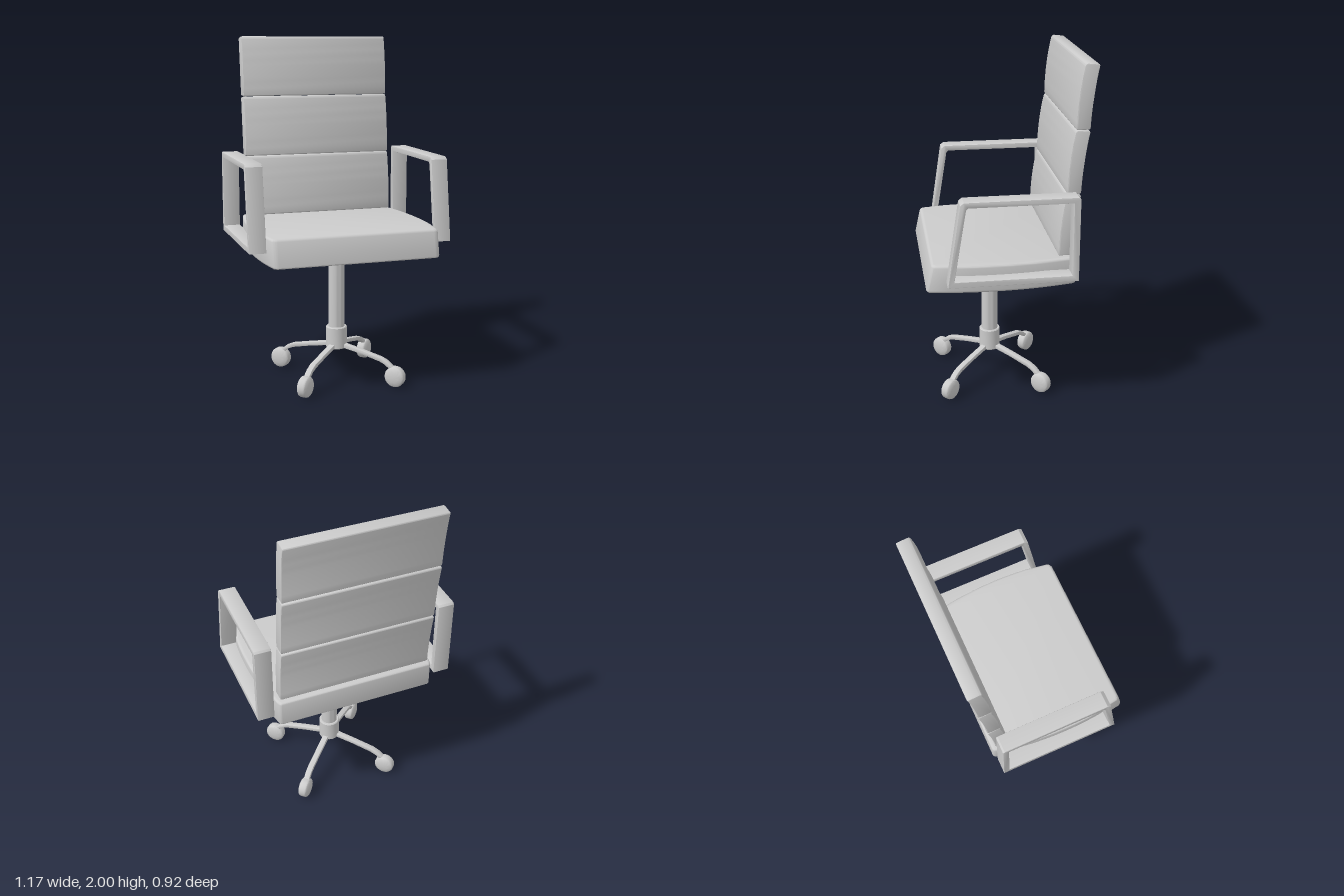
import * as THREE from 'three';
import { toCreasedNormals } from 'three/addons/utils/BufferGeometryUtils.js';

const material = new THREE.MeshStandardMaterial({ color: 0xcccccc });
const POST_Z = 0.055;

function add(parent, name, geometry, crease = 0.6) {
  const mesh = new THREE.Mesh(toCreasedNormals(geometry, crease), material);
  mesh.name = name;
  parent.add(mesh);
  return mesh;
}

const pts = (list) => list.map(([x, y]) => new THREE.Vector2(x, y));

// Extrusion centred on its depth, with a bevel that stays inside the outline
function slab(shape, depth, bevel, segments = 2) {
  const g = new THREE.ExtrudeGeometry(shape, {
    depth: depth - 2 * bevel, bevelEnabled: bevel > 0, bevelSize: bevel,
    bevelThickness: bevel, bevelOffset: -bevel, bevelSegments: segments, curveSegments: 10,
  });
  return g.translate(0, 0, bevel - depth / 2);
}

// Side profile (z, y) extruded across x
const sideSlab = (shape, width, bevel) => slab(shape, width, bevel).rotateY(-Math.PI / 2);

function createSeat(parent) {
  // Plan outline: bulging sides, narrower back, clipped front corners
  const s = new THREE.Shape();
  s.moveTo(-0.45, 0.365);
  s.lineTo(0.45, 0.365);
  s.quadraticCurveTo(0.465, 0.36, 0.47, 0.33);
  s.bezierCurveTo(0.515, 0.12, 0.525, -0.12, 0.495, -0.35);
  s.lineTo(0.48, -0.445);
  s.quadraticCurveTo(0.475, -0.46, 0.45, -0.465);
  s.lineTo(-0.45, -0.465);
  s.quadraticCurveTo(-0.475, -0.46, -0.48, -0.445);
  s.lineTo(-0.495, -0.35);
  s.bezierCurveTo(-0.525, -0.12, -0.515, 0.12, -0.47, 0.33);
  s.quadraticCurveTo(-0.465, 0.36, -0.45, 0.365);
  const g = slab(s, 0.158, 0.014, 3).rotateX(-Math.PI / 2).translate(0, 0.859, 0);
  // Lean the front face back towards the top
  const p = g.attributes.position;
  for (let i = 0; i < p.count; i++) {
    const t = (p.getY(i) - 0.78) / 0.158;
    if (p.getZ(i) > 0.3) p.setZ(i, p.getZ(i) - 0.034 * t);
  }
  add(parent, 'seat', g);
}

function createBackrest(parent) {
  const back = new THREE.Group();
  back.name = 'backrest';
  parent.add(back);
  // Bowed cushion profile: convex front, hollow back
  const s = new THREE.Shape();
  s.moveTo(-0.275, 0.945);
  s.lineTo(-0.335, 0.945);
  s.quadraticCurveTo(-0.342, 0.946, -0.343, 0.955);
  s.quadraticCurveTo(-0.35, 1.12, -0.382, 1.28);
  s.quadraticCurveTo(-0.383, 1.288, -0.373, 1.29);
  s.lineTo(-0.32, 1.296);
  s.quadraticCurveTo(-0.306, 1.296, -0.302, 1.28);
  s.quadraticCurveTo(-0.268, 1.13, -0.266, 0.955);
  s.quadraticCurveTo(-0.266, 0.945, -0.275, 0.945);
  for (let i = 0; i < 3; i++) {
    const cushion = add(back, 'backCushion' + (i + 1), sideSlab(s, 0.9, 0.008));
    cushion.position.set(0, 0.352 * i, -0.04 * i);
  }
}

function createArmrests(parent) {
  // Closed frame with clipped outer corners
  const s = new THREE.Shape(pts([
    [0.355, 0.85], [0.285, 1.31], [0.265, 1.325], [-0.342, 1.325],
    [-0.352, 1.315], [-0.352, 0.85],
  ]));
  s.holes.push(new THREE.Path(pts([
    [0.32, 0.883], [-0.317, 0.883], [-0.317, 1.294], [0.243, 1.294], [0.254, 1.283],
  ])));
  for (const [name, side] of [['leftArmrest', 1], ['rightArmrest', -1]]) {
    add(parent, name, sideSlab(s, 0.096, 0.003)).position.x = side * 0.539;
  }
}

function createBase(parent) {
  const base = new THREE.Group();
  base.name = 'base';
  base.position.z = POST_Z;
  parent.add(base);

  add(base, 'post', new THREE.CylinderGeometry(0.048, 0.048, 0.54, 32)).position.y = 0.53;
  add(base, 'hub', new THREE.LatheGeometry(pts([
    [0, 0.185], [0.058, 0.185], [0.062, 0.19], [0.062, 0.31], [0.058, 0.315], [0, 0.315],
  ]), 32));

  // Cranked leg seen from its side
  const legShape = new THREE.Shape(pts([
    [0.03, 0.192], [0.16, 0.17], [0.285, 0.142], [0.32, 0.128], [0.37, 0.09], [0.39, 0.1],
    [0.335, 0.147], [0.295, 0.165], [0.16, 0.194], [0.03, 0.218],
  ]));
  const legGeo = slab(legShape, 0.036, 0.005);
  // Wheel with domed cheeks
  const half = [[0.03, 0.033], [0.05, 0.027], [0.057, 0.022], [0.06, 0.014]];
  const wheelGeo = new THREE.LatheGeometry(pts([
    [0, -0.035], ...half.map(([r, h]) => [r, -h]), ...half.slice().reverse(), [0, 0.035],
  ]), 28).rotateX(Math.PI / 2);

  for (let i = 0; i < 4; i++) {
    const arm = new THREE.Group();
    arm.name = 'casterLeg' + (i + 1);
    arm.rotation.y = Math.PI / 4 + (i * Math.PI) / 2;
    base.add(arm);
    add(arm, 'leg', legGeo);
    add(arm, 'caster', wheelGeo).position.set(0.382, 0.062, 0);
  }
}

export function createModel() {
  const chair = new THREE.Group();
  chair.name = 'officeChair';
  createSeat(chair);
  createBackrest(chair);
  createArmrests(chair);
  createBase(chair);
  return chair;
}
